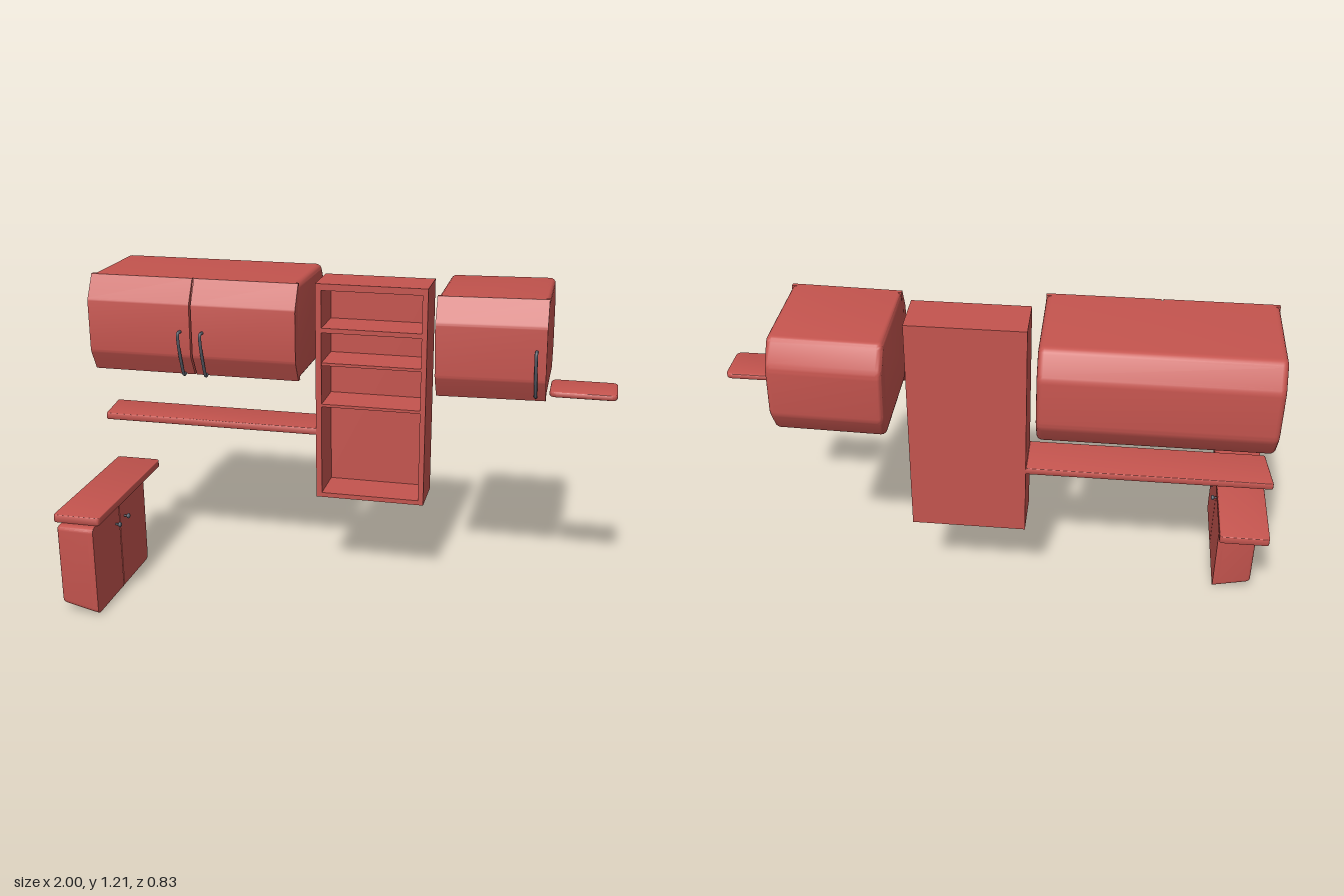
import * as THREE from 'three';
import { toCreasedNormals } from 'three/addons/utils/BufferGeometryUtils.js';

const red = new THREE.MeshStandardMaterial({ color: 0xc4544e });
const steel = new THREE.MeshStandardMaterial({ color: 0x585d68 });

function add(parent, name, geometry, material = red) {
  const mesh = new THREE.Mesh(geometry, material);
  mesh.name = name;
  parent.add(mesh);
  return mesh;
}

// Box given by its minimum and maximum corners
function box(x0, x1, y0, y1, z0, z1) {
  return new THREE.BoxGeometry(x1 - x0, y1 - y0, z1 - z0)
    .translate((x0 + x1) / 2, (y0 + y1) / 2, (z0 + z1) / 2);
}

// Closed polygon; each point is [u, v, corner radius]
function polygon(points) {
  const shape = new THREE.Shape();
  points.forEach(([u, v, r = 0], i) => {
    const p = new THREE.Vector2(u, v);
    const toward = (q) => new THREE.Vector2(q[0], q[1]).sub(p).setLength(r).add(p);
    const a = toward(points[(i + points.length - 1) % points.length]);
    const b = toward(points[(i + 1) % points.length]);
    if (i === 0) shape.moveTo(a.x, a.y); else shape.lineTo(a.x, a.y);
    if (r > 0) shape.quadraticCurveTo(u, v, b.x, b.y);
  });
  shape.closePath();
  return shape;
}

function extrude(points, depth, bevel) {
  return new THREE.ExtrudeGeometry(polygon(points), {
    depth: depth - 2 * bevel, curveSegments: 5, bevelEnabled: bevel > 0,
    bevelSize: bevel, bevelThickness: bevel, bevelOffset: -bevel, bevelSegments: 4,
  }).translate(0, 0, bevel);
}

// Profile of [z, y, radius] points swept along x from x0 to x1
function sweepX(points, x0, x1, bevel = 0) {
  const profile = points.map(([z, y, r]) => [-z, y, r]);
  const geometry = extrude(profile, x1 - x0, bevel).rotateY(Math.PI / 2).translate(x0, 0, 0);
  return toCreasedNormals(geometry, 0.6);
}

// Outline of [x, z, radius] points raised from y0 to y1
function slab(points, y0, y1, bevel) {
  const outline = points.map(([x, z, r]) => [x, -z, r]);
  const geometry = extrude(outline, y1 - y0, bevel).rotateX(-Math.PI / 2).translate(0, y0, 0);
  return toCreasedNormals(geometry, 0.6);
}

// Overhead locker: eight-sided body, facetted doors and bowed handles
function locker(name, x0, x1, base, top, doors, handles) {
  const g = new THREE.Group();
  g.name = name;
  add(g, 'lockerBody', sweepX([
    [0, top], [0.035, top - 0.07], [0.035, base + 0.06], [0, base],
    [-0.36, base, 0.02], [-0.415, base + 0.09, 0.02],
    [-0.415, top - 0.09, 0.02], [-0.36, top, 0.02],
  ], x0, x1, 0.02));
  doors.forEach(([a, b]) => add(g, 'lockerDoor', sweepX([
    [-0.005, top], [0.01, top], [0.062, top - 0.09, 0.01], [0.062, base + 0.08, 0.01],
    [0.02, base], [-0.005, base],
  ], a, b)));
  const path = new THREE.CatmullRomCurve3([
    [1.02, 0.055], [1.018, 0.088], [0.985, 0.087], [0.92, 0.069],
    [0.865, 0.048], [0.848, 0.038], [0.852, 0.018],
  ].map(([y, z]) => new THREE.Vector3(0, y, z)));
  handles.forEach((x) => add(g, 'lockerHandle',
    new THREE.TubeGeometry(path, 28, 0.006, 8).translate(x, 0, 0), steel));
  return g;
}

export function createModel() {
  const model = new THREE.Group();
  model.name = 'wallFurniture';

  // Overhead lockers
  model.add(locker('wideLocker', -0.948, -0.152, 0.847, 1.21,
    [[-0.948, -0.553], [-0.546, -0.152]], [-0.59, -0.505]));
  const small = locker('smallLocker', 0, 0.39, 0.83, 1.194, [[0, 0.39]], [0.355]);
  // The small locker hangs very slightly askew
  const pivot = new THREE.Group();
  pivot.name = 'smallLockerMount';
  small.position.set(-0.195, -1.01, 0);
  pivot.position.set(0.552, 1.011, 0);
  pivot.rotation.z = 0.017;
  pivot.add(small);
  model.add(pivot);

  // Open bookcase
  const bookcase = new THREE.Group();
  bookcase.name = 'bookcase';
  model.add(bookcase);
  add(bookcase, 'backPanel', box(-0.108, 0.31, 0.357, 1.197, -0.24, -0.225));
  add(bookcase, 'leftSide', box(0.29, 0.31, 0.357, 1.197, -0.225, -0.064));
  add(bookcase, 'rightSide', box(-0.108, -0.086, 0.357, 1.197, -0.225, -0.064));
  add(bookcase, 'topPanel', box(-0.086, 0.29, 1.172, 1.197, -0.225, -0.064));
  add(bookcase, 'bottomPanel', box(-0.086, 0.29, 0.357, 0.375, -0.225, -0.064));
  [[1.012, 1.03], [0.886, 0.897], [0.724, 0.735]].forEach(([y0, y1]) =>
    add(bookcase, 'bookShelf', box(-0.086, 0.29, y0, y1, -0.225, -0.066)));

  // Long wall shelf with a slanted end
  add(model, 'longShelf', slab([
    [-0.108, -0.065], [-0.108, -0.238], [-0.982, -0.238, 0.008], [-0.962, -0.065, 0.008],
  ], 0.609, 0.636, 0.005));

  // Small side tray
  add(model, 'sideTray', slab([
    [0.762, 0.048, 0.025], [0.997, 0.048, 0.025], [0.997, -0.108, 0.025], [0.762, -0.108, 0.025],
  ], 0.859, 0.88, 0.006));

  // Low cabinet with a floor that slopes up towards the wall
  const low = new THREE.Group();
  low.name = 'lowCabinet';
  model.add(low);
  const sloped = (geometry) => {
    const p = geometry.attributes.position;
    for (let i = 0; i < p.count; i++) {
      const t = 1 - Math.min(1, Math.max(0, p.getY(i) / 0.354));
      p.setY(i, p.getY(i) + 0.24 * t * Math.max(0, -0.835 - p.getX(i)));
    }
    return toCreasedNormals(geometry, 0.6);
  };
  add(low, 'cabinetBody', sloped(sweepX([
    [0.414, 0.006, 0.02], [-0.088, 0.006, 0.02], [-0.088, 0.354, 0.02], [0.414, 0.354, 0.02],
  ].reverse(), -0.976, -0.84, 0.014)));
  [[0.414, 0.168], [-0.088, 0.162]].forEach(([outer, inner]) => {
    add(low, 'cabinetDoor', sloped(sweepX([
      [outer, 0.006, 0.02], [inner, 0.006], [inner, 0.354], [outer, 0.354, 0.02],
    ], -0.856, -0.833)));
  });
  add(low, 'doorSeam', box(-0.85, -0.836, 0, 0.352, 0.162, 0.168));
  [0.205, 0.12].forEach((z) => {
    add(low, 'knobStem', new THREE.CylinderGeometry(0.004, 0.004, 0.02, 10)
      .rotateZ(Math.PI / 2).translate(-0.826, 0.285, z), steel);
    add(low, 'knob', new THREE.SphereGeometry(0.01, 16, 12)
      .scale(0.7, 1, 1).translate(-0.816, 0.285, z), steel);
  });

  // Worktop above the low cabinet
  add(model, 'worktop', slab([
    [-1, 0.384, 0.012], [-0.82, 0.384, 0.012], [-0.82, -0.241, 0.012], [-1, -0.241, 0.012],
  ], 0.354, 0.385, 0.004));

  return model;
}
